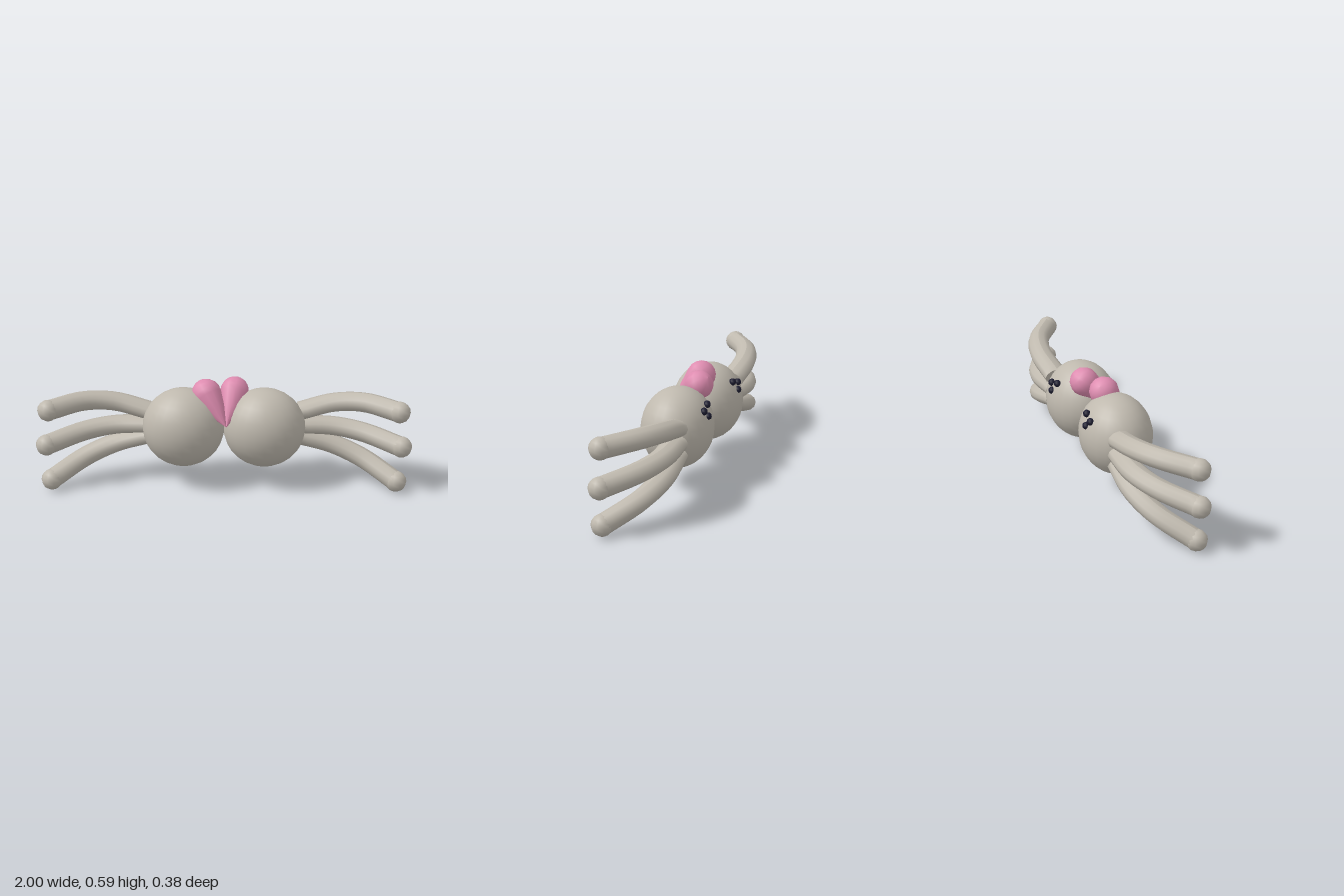
import * as THREE from 'three';

const grey = new THREE.MeshStandardMaterial({ color: 0xbfb9ae });
grey.name = 'warmGrey';
const pink = new THREE.MeshStandardMaterial({ color: 0xde8cb0 });
pink.name = 'pink';
const navy = new THREE.MeshStandardMaterial({ color: 0x1c1c30 });
navy.name = 'darkNavy';

const V = (x, y, z) => new THREE.Vector3(x, y, z);

function add(parent, name, geometry, material, position) {
  const mesh = new THREE.Mesh(geometry, material);
  mesh.name = name;
  if (position) mesh.position.copy(position);
  parent.add(mesh);
  return mesh;
}

// Bends a capped cylinder along a curve, with an oval section that becomes round at the tip
function bentLimb(curve) {
  const geo = new THREE.CylinderGeometry(1, 1, 1, 12, 14);
  const pos = geo.attributes.position;
  for (let i = 0; i < pos.count; i++) {
    const t = pos.getY(i) + 0.5;
    const tangent = curve.getTangent(t);
    const up = V(0, 1, 0).addScaledVector(tangent, -tangent.y).normalize();
    const side = tangent.clone().cross(up);
    const p = curve.getPoint(t)
      .addScaledVector(side, pos.getX(i) * THREE.MathUtils.lerp(0.068, 0.053, t))
      .addScaledVector(up, pos.getZ(i) * THREE.MathUtils.lerp(0.047, 0.054, t));
    pos.setXYZ(i, p.x, p.y, p.z);
  }
  geo.computeVertexNormals();
  return geo;
}

// Teardrop from a pointed tip to a round lobe
function teardrop(tip, centre, radius) {
  const axis = centre.clone().sub(tip);
  const len = axis.length();
  const profile = [new THREE.Vector2(0, 0), new THREE.Vector2(radius * 0.62, len * 0.5)];
  for (let i = 0; i <= 5; i++) {
    const a = -0.3 + (i / 5) * (Math.PI / 2 + 0.3);
    profile.push(new THREE.Vector2(i === 5 ? 0 : Math.cos(a) * radius, len + Math.sin(a) * radius));
  }
  const geo = new THREE.LatheGeometry(profile, 12);
  geo.applyQuaternion(new THREE.Quaternion().setFromUnitVectors(V(0, 1, 0), axis.normalize()));
  return geo.translate(tip.x, tip.y, tip.z);
}

// Root, middle and tip heights, and tip reach, of each leg
const legs = [
  { name: 'upperLeg', y: [0.395, 0.443, 0.462, 0.457], reach: 0.925 },
  { name: 'middleLeg', y: [0.317, 0.307, 0.29, 0.259], reach: 0.944 },
  { name: 'lowerLeg', y: [0.255, 0.2, 0.14, 0.058], reach: 0.925 },
];
const eyes = [[0.19, 0.463, -0.153], [0.25, 0.445, -0.16], [0.222, 0.412, -0.172]];

export function createModel() {
  const model = new THREE.Group();
  model.name = 'spider';

  for (const s of [1, -1]) {
    const half = new THREE.Group();
    half.name = s > 0 ? 'leftHalf' : 'rightHalf';
    model.add(half);

    // Round body
    add(half, 'body', new THREE.SphereGeometry(1, 24, 16).scale(0.22, 0.216, 0.19), grey, V(s * 0.217, 0.327, 0));

    // Legs sweep back, then forward to round feet
    for (const { name, y, reach } of legs) {
      const curve = new THREE.CatmullRomCurve3([
        V(s * 0.405, y[0], -0.066), V(s * 0.59, y[1], -0.075),
        V(s * 0.75, y[2], -0.028), V(s * reach, y[3], 0.1),
      ]);
      add(half, name, bentLimb(curve), grey);
      add(half, name + 'Foot', new THREE.SphereGeometry(0.057, 10, 8), grey, V(s * reach, y[3], 0.1));
    }

    // Cluster of three eyes
    for (const [x, ey, z] of eyes) {
      add(half, 'eye', new THREE.SphereGeometry(0.02, 8, 6), navy, V(s * x, ey, z));
    }
  }

  // Tilted heart resting between the bodies
  const heart = new THREE.Group();
  heart.name = 'heart';
  model.add(heart);
  const tip = V(0.015, 0.37, 0.112);
  add(heart, 'heartLeftLobe', teardrop(tip, V(0.057, 0.515, -0.055), 0.077), pink);
  add(heart, 'heartRightLobe', teardrop(tip, V(-0.093, 0.515, -0.008), 0.08), pink);

  return model;
}
